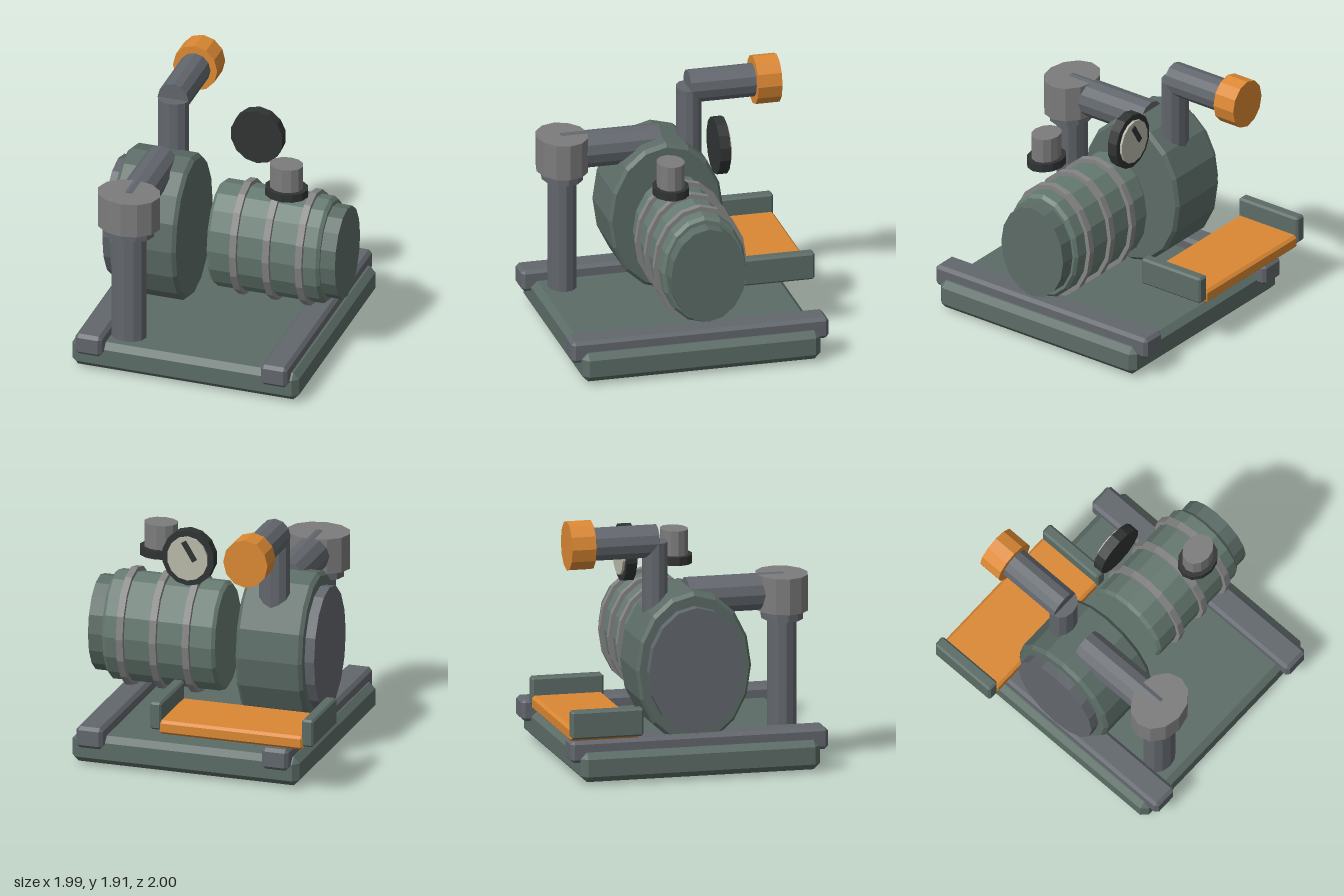
import * as THREE from 'three';
import { ConvexGeometry } from 'three/addons/geometries/ConvexGeometry.js';

const mat = (color) => new THREE.MeshStandardMaterial({ color, flatShading: true });
const GREEN = mat(0x5c6c66), MOTOR = mat(0x667a71), STEEL = mat(0x62676d), BAND = mat(0x858585);
const ORANGE = mat(0xdb8833), BLACK = mat(0x303433), CREAM = mat(0xb9b9aa), CAP = mat(0x7c7c7c);

export function createModel() {
  const group = new THREE.Group();
  const add = (name, geometry, material) => {
    const mesh = new THREE.Mesh(geometry, material);
    mesh.name = name;
    group.add(mesh);
    return mesh;
  };

  // Box with chamfered edges, given by its ranges on x, y and z
  const block = (name, x, y, z, c, material) => {
    const mid = [x, y, z].map(([a, b]) => (a + b) / 2);
    const half = [x, y, z].map(([a, b]) => (b - a) / 2);
    const points = [];
    for (const sx of [-1, 1]) for (const sy of [-1, 1]) for (const sz of [-1, 1]) {
      for (let k = 0; k < 3; k++) {
        const p = [sx, sy, sz].map((s, i) => mid[i] + s * (half[i] - (i === k ? 0 : c)));
        points.push(new THREE.Vector3(...p));
      }
    }
    return add(name, new ConvexGeometry(points), material);
  };

  // Faceted elliptical cylinder along an axis; radii are [rx, ry, rz] with the axis entry unused
  const drum = (name, axis, [from, to], centre, radii, sides, material, chamfer = 0) => {
    const h = (to - from) / 2;
    const c = chamfer / Math.max(...radii);
    const profile = chamfer
      ? [[0, -h], [1 - c, -h], [1, chamfer - h], [1, h - chamfer], [1 - c, h], [0, h]]
      : [[0, -h], [1, -h], [1, h], [0, h]];
    const g = new THREE.LatheGeometry(profile.map((p) => new THREE.Vector2(...p)), sides);
    if (axis === 'x') g.rotateZ(-Math.PI / 2);
    if (axis === 'z') g.rotateX(Math.PI / 2);
    const i = 'xyz'.indexOf(axis);
    const scale = [...radii], pos = [...centre];
    scale[i] = 1;
    pos[i] = (from + to) / 2;
    g.scale(...scale).translate(...pos);
    return add(name, g, material);
  };

  // Skid base and rails
  block('base', [-0.84, 0.92], [0.02, 0.24], [-0.88, 0.93], 0.045, GREEN);
  block('rightRail', [-0.785, -0.58], [0.16, 0.325], [-0.95, 1], 0.025, STEEL);
  block('leftRail', [0.655, 0.86], [0.16, 0.325], [-0.95, 1], 0.025, STEEL);

  // Rear tray
  block('tray', [-0.92, 0.2], [0.36, 0.465], [-1, -0.46], 0.02, ORANGE);
  block('rightTrayEnd', [-1, -0.91], [0.39, 0.6], [-1, -0.455], 0.015, GREEN);
  block('leftTrayEnd', [0.18, 0.27], [0.39, 0.6], [-1, -0.455], 0.015, GREEN);

  // Pump casing and its end cover
  const core = [0, 0.81, 0];
  drum('pumpCasing', 'x', [-0.715, -0.2], core, [0, 0.575, 0.437], 16, GREEN, 0.028);
  drum('casingCover', 'x', [-0.79, -0.7], core, [0, 0.472, 0.36], 16, STEEL);

  // Motor with bands and end bell
  drum('motorBody', 'x', [0, 0.875], core, [0, 0.42, 0.32], 16, MOTOR, 0.025);
  for (const x of [0.19, 0.445, 0.7]) {
    drum('motorBand', 'x', [x, x + 0.052], core, [0, 0.453, 0.352], 16, BAND);
  }
  drum('motorEndBell', 'x', [0.86, 0.99], core, [0, 0.365, 0.285], 16, GREEN);

  // Intake post, collar, head and cross pipe
  const post = [-0.455, 0, 0.73];
  drum('intakePost', 'y', [0, 1.12], post, [0.135, 0, 0.107], 12, STEEL);
  drum('intakeCollar', 'y', [1.1, 1.18], post, [0.195, 0, 0.155], 12, STEEL);
  drum('intakeHead', 'y', [1.165, 1.435], post, [0.24, 0, 0.193], 12, CAP);
  drum('intakePipe', 'z', [0, 0.74], [-0.455, 1.303, 0], [0.135, 0.14, 0], 12, STEEL);

  // Outlet riser, pipe and end cap
  drum('outletRiser', 'y', [1.05, 1.725], [-0.44, 0, -0.23], [0.12, 0, 0.094], 12, STEEL);
  drum('outletPipe', 'z', [-0.75, -0.22], [-0.44, 1.725, 0], [0.12, 0.125, 0], 12, STEEL);
  drum('outletCap', 'z', [-0.897, -0.715], [-0.44, 1.725, 0], [0.172, 0.185, 0], 12, ORANGE);

  // Gauge facing the rear
  const gauge = [0.2, 1.505, 0];
  drum('gaugeBody', 'z', [-0.327, -0.247], gauge, [0.203, 0.216, 0], 14, BLACK);
  drum('gaugeDial', 'z', [-0.345, -0.32], gauge, [0.157, 0.17, 0], 14, CREAM);
  const needle = add('gaugeNeedle', new THREE.BoxGeometry(0.04, 0.165, 0.015), BLACK);
  needle.position.set(0.183, 1.565, -0.348);
  needle.rotation.z = -0.55;

  // Filler on top of the motor
  drum('fillerFlange', 'y', [1.322, 1.385], [0.58, 0, 0.18], [0.165, 0, 0.135], 12, BLACK);
  drum('fillerCap', 'y', [1.37, 1.573], [0.58, 0, 0.18], [0.128, 0, 0.103], 12, CAP);

  return group;
}
